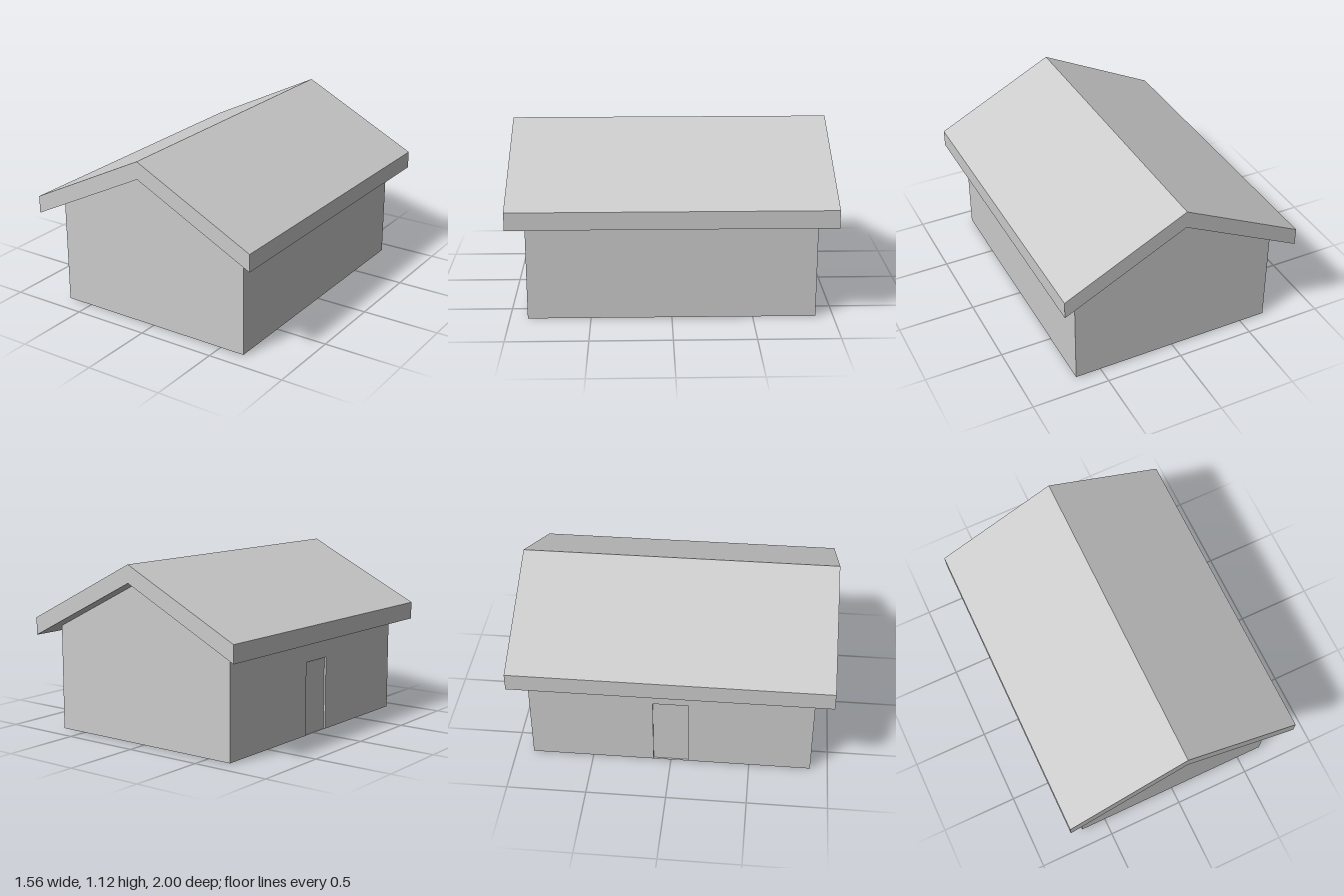
import * as THREE from 'three';

const W = 0.667, L = 0.889, EAVE = 0.667, RIDGE = 1;       // house body (half width, half length, heights)
const DOOR = 0.111, DOOR_H = 0.467, DEPTH = 0.111;         // doorway (half width, height, depth)
const INSET = 0.012, LIFT = 0.005;                         // door set back, floor just above ground

const polygon = (points) => new THREE.Shape(points.map(([x, y]) => new THREE.Vector2(x, y)));

export function createModel() {
  const model = new THREE.Group();
  const house = new THREE.Group();
  house.name = 'house';
  house.position.y = LIFT;
  model.add(house);

  const grey = new THREE.MeshStandardMaterial({ color: 0xcccccc, flatShading: true });
  const inward = grey.clone();
  inward.side = THREE.BackSide;

  const add = (name, geometry, material = grey) => {
    const mesh = new THREE.Mesh(geometry, material);
    mesh.name = name;
    house.add(mesh);
    return mesh;
  };

  // Gable ends
  const gable = polygon([[-W, 0], [W, 0], [W, EAVE], [0, RIDGE], [-W, EAVE]]);
  add('frontGable', new THREE.ShapeGeometry(gable)).position.z = L;
  const back = add('backGable', new THREE.ShapeGeometry(gable));
  back.rotation.y = Math.PI;
  back.position.z = -L;

  // Plain side wall
  const plain = add('plainWall', new THREE.PlaneGeometry(2 * L, EAVE));
  plain.rotation.y = Math.PI / 2;
  plain.position.set(W, EAVE / 2, 0);

  // Side wall with the doorway cut out
  const doorWall = add('doorWall', new THREE.ShapeGeometry(polygon([
    [-L, 0], [-DOOR, 0], [-DOOR, DOOR_H], [DOOR, DOOR_H], [DOOR, 0], [L, 0], [L, EAVE], [-L, EAVE],
  ])));
  doorWall.rotation.y = -Math.PI / 2;
  doorWall.position.x = -W;

  // Floor, notched at the doorway
  const floor = add('floor', new THREE.ShapeGeometry(polygon([
    [-W, -L], [W, -L], [W, L], [-W, L],
    [-W, DOOR], [-W + DEPTH, DOOR], [-W + DEPTH, -DOOR], [-W, -DOOR],
  ])));
  floor.rotation.x = Math.PI / 2;

  // Doorway pocket, seen from inside
  add('doorway', new THREE.BoxGeometry(DEPTH, DOOR_H, 2 * DOOR), inward)
    .position.set(-W + DEPTH / 2, DOOR_H / 2, 0);

  // Door, set back and slightly lower than the floor
  add('door', new THREE.BoxGeometry(DEPTH - INSET, DOOR_H, 2 * DOOR))
    .position.set(-W + INSET + (DEPTH - INSET) / 2, DOOR_H / 2 - LIFT, 0);

  // Overhanging gabled roof
  const RW = 0.778, DROP = 0.389, T = 0.111;
  const roof = polygon([
    [-RW, RIDGE - DROP], [0, RIDGE], [RW, RIDGE - DROP],
    [RW, RIDGE - DROP + T], [0, RIDGE + T], [-RW, RIDGE - DROP + T],
  ]);
  add('roof', new THREE.ExtrudeGeometry(roof, { depth: 2, bevelEnabled: false })).position.z = -1;

  return model;
}
